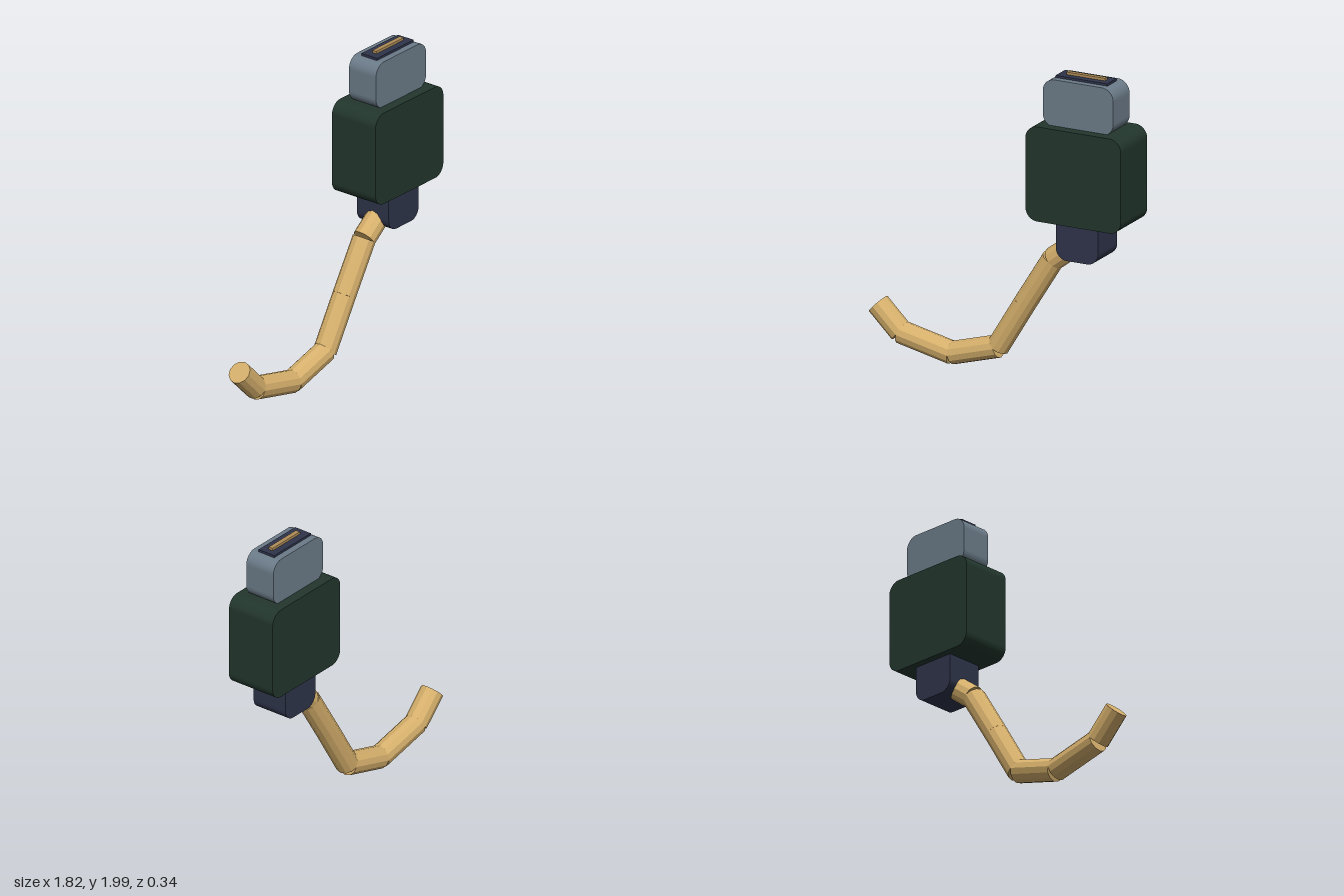
import * as THREE from 'three';

const material = (name, color, extra = {}) => {
  const m = new THREE.MeshStandardMaterial({ color, ...extra });
  m.name = name;
  return m;
};

// Upright slab with rounded corners in the front outline and straight depth
function roundedSlab(x0, x1, y0, y1, depth, r) {
  const s = new THREE.Shape();
  s.moveTo(x0 + r, y0);
  s.lineTo(x1 - r, y0);
  s.absarc(x1 - r, y0 + r, r, -Math.PI / 2, 0);
  s.lineTo(x1, y1 - r);
  s.absarc(x1 - r, y1 - r, r, 0, Math.PI / 2);
  s.lineTo(x0 + r, y1);
  s.absarc(x0 + r, y1 - r, r, Math.PI / 2, Math.PI);
  s.lineTo(x0, y0 + r);
  s.absarc(x0 + r, y0 + r, r, Math.PI, Math.PI * 1.5);
  const g = new THREE.ExtrudeGeometry(s, { depth, bevelEnabled: false, curveSegments: 6 });
  g.translate(0, 0, -depth / 2);
  return g;
}

function plate(x0, x1, y0, y1, depth) {
  const g = new THREE.BoxGeometry(x1 - x0, y1 - y0, depth);
  g.translate((x0 + x1) / 2, (y0 + y1) / 2, 0);
  return g;
}

export function createModel() {
  const model = new THREE.Group();
  model.name = 'cableConnector';

  const green = material('darkGreen', 0x22362d);
  const slate = material('slateGrey', 0x6b7b88);
  const navy = material('navy', 0x2e344a);
  const tan = material('tanCable', 0xd6b06c, { flatShading: true });
  const brass = material('brass', 0xb08d57);

  const add = (name, geometry, mat, parent = model) => {
    const mesh = new THREE.Mesh(geometry, mat);
    mesh.name = name;
    parent.add(mesh);
    return mesh;
  };

  // Connector body, stacked from the strain relief to the contact
  add('strainRelief', roundedSlab(0.435, 0.725, 0.832, 1.13, 0.248, 0.075), navy);
  add('housing', roundedSlab(0.25, 0.907, 1.07, 1.675, 0.34, 0.08), green);
  add('plugShell', roundedSlab(0.335, 0.82, 1.665, 1.97, 0.21, 0.08), slate);
  add('socketPlate', plate(0.4, 0.755, 1.965, 1.984, 0.122), navy);
  add('contactStrip', plate(0.45, 0.715, 1.98, 2.0, 0.03), brass);

  // Cable: straight segments meeting at their centre lines
  const cable = new THREE.Group();
  cable.name = 'cable';
  model.add(cable);
  const path = [
    [-0.857, 0.314], [-0.698, 0.157], [-0.345, 0.078], [-0.029, 0.169],
    [0.107, 0.48], [0.351, 0.786], [0.56, 0.945],
  ].map(([x, y]) => new THREE.Vector3(x, y, 0));
  // The two long rising segments are nearly in line
  path[4].set(0.157, 0.47, 0).lerpVectors(path[3], path[5], 0.5).add(new THREE.Vector3(-0.05, 0, 0).multiplyScalar(0.05));
  const up = new THREE.Vector3(0, 1, 0);
  for (let i = 0; i < path.length - 1; i++) {
    const dir = path[i + 1].clone().sub(path[i]);
    const segment = add('cableSegment' + (i + 1),
      new THREE.CylinderGeometry(0.073, 0.073, dir.length(), 12), tan, cable);
    segment.position.lerpVectors(path[i], path[i + 1], 0.5);
    segment.quaternion.setFromUnitVectors(up, dir.normalize());
  }
  return model;
}
